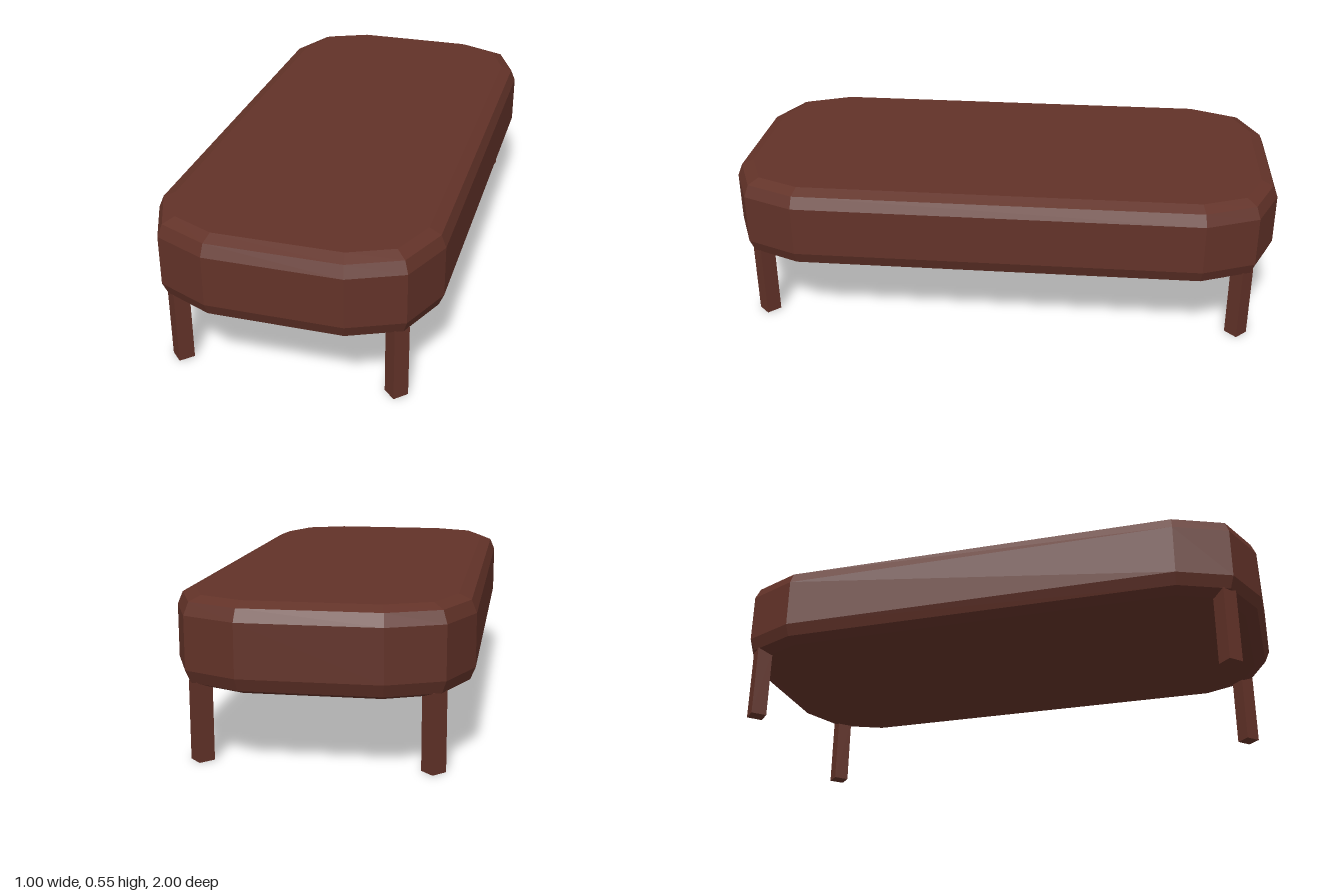
import * as THREE from 'three';

export function createModel() {
  const model = new THREE.Group();
  const brown = new THREE.MeshStandardMaterial({ color: 0x623228 });
  brown.name = 'dark brown';
  brown.flatShading = true;

  // Padded seat: long slab with clipped corners and a two-step rounded edge
  const bevel = 0.06;
  const corner = [[0.44, 0.718], [0.374, 0.874], [0.223, 0.94]];
  const reversed = [...corner].reverse();
  const outline = [
    ...corner,
    ...reversed.map(([x, z]) => [-x, z]),
    ...corner.map(([x, z]) => [-x, -z]),
    ...reversed.map(([x, z]) => [x, -z]),
  ].map(([x, z]) => new THREE.Vector2(x, z));
  const seatGeometry = new THREE.ExtrudeGeometry(new THREE.Shape(outline), {
    depth: 0.18, steps: 1, bevelEnabled: true,
    bevelThickness: bevel, bevelSize: bevel, bevelSegments: 2,
  });
  seatGeometry.rotateX(-Math.PI / 2);
  seatGeometry.translate(0, 0.25 + bevel, 0);
  const seat = new THREE.Mesh(seatGeometry, brown);
  seat.name = 'seat';
  model.add(seat);

  // Four square legs, each turned 45 degrees to face its corner
  const legHeight = 0.27;
  const legGeometry = new THREE.CylinderGeometry(0.04, 0.04, legHeight, 4);
  for (const [endName, sz] of [['front', 1], ['back', -1]]) {
    for (const [sideName, sx] of [['Left', 1], ['Right', -1]]) {
      const leg = new THREE.Mesh(legGeometry, brown);
      leg.name = `${endName}${sideName}Leg`;
      leg.position.set(sx * 0.381, legHeight / 2, sz * 0.881);
      model.add(leg);
    }
  }

  return model;
}
